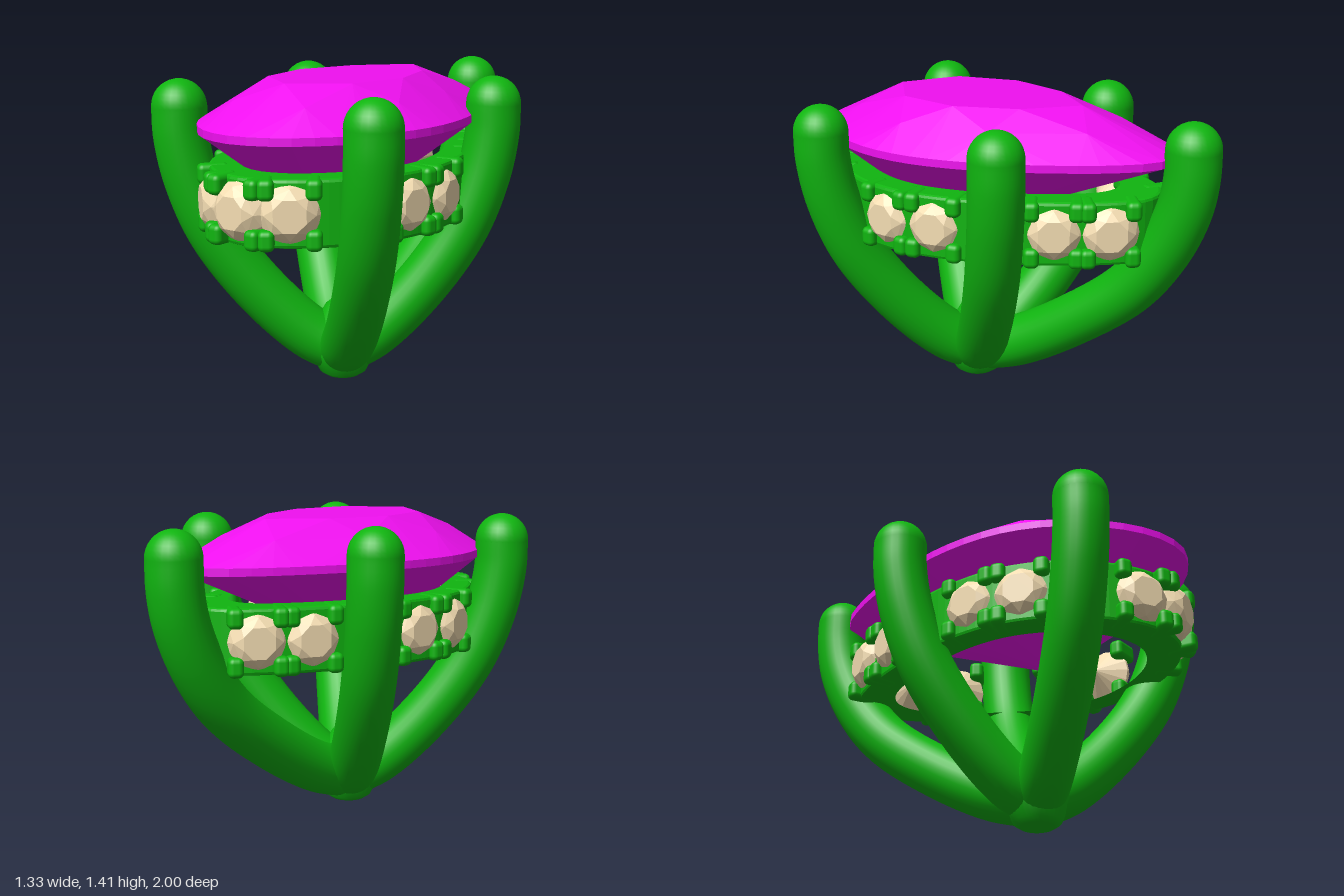
import * as THREE from 'three';
import { RoundedBoxGeometry } from 'three/addons/geometries/RoundedBoxGeometry.js';
import { ConvexGeometry } from 'three/addons/geometries/ConvexGeometry.js';

const metal = new THREE.MeshStandardMaterial({ color: 0x10b510 });
const gemMat = new THREE.MeshStandardMaterial({ color: 0xf010f0, flatShading: true });
const stoneMat = new THREE.MeshStandardMaterial({ color: 0xf5deb3, flatShading: true });

// Pear outline, half side as [x, z], mirrored into a closed curve
const half = [[0.18, 0.95], [0.33, 0.83], [0.44, 0.68], [0.52, 0.5], [0.555, 0.28], [0.525, 0.02],
  [0.455, -0.2], [0.365, -0.4], [0.25, -0.6], [0.12, -0.75]];
const outline = new THREE.CatmullRomCurve3([
  [0, 1], ...half, [0, -0.79], ...half.slice().reverse().map(([x, z]) => [-x, z]),
].map(([x, z]) => new THREE.Vector3(x, 0, z)), true);

function mesh(name, geometry, material) {
  const m = new THREE.Mesh(geometry, material);
  m.name = name;
  return m;
}

// Pear outline scaled about a centre on the z axis
function pearRing(count, scale, y, centre = 0.2, shift = 0) {
  return Array.from({ length: count }, (_, i) => {
    const p = outline.getPointAt(((i + shift) / count) % 1);
    return new THREE.Vector3(p.x * scale, y, centre + (p.z - centre) * scale);
  });
}

// Large faceted pear stone
function centreGem() {
  return mesh('centreGem', new ConvexGeometry([
    ...pearRing(8, 0.54, 1.412),
    ...pearRing(8, 0.77, 1.335, 0.2, 0.5),
    ...pearRing(48, 1, 1.235),
    ...pearRing(48, 1, 1.2),
    new THREE.Vector3(0, 0.74, 0.34),
  ]), gemMat);
}

// Small round stone facing +z
function stoneGeometry() {
  const ring = (n, r, z, turn) => Array.from({ length: n }, (_, i) => {
    const a = ((i + turn) / n) * Math.PI * 2;
    return new THREE.Vector3(r * Math.cos(a), r * Math.sin(a), z);
  });
  return new ConvexGeometry([
    ...ring(8, 0.075, 0.075, 0.5), ...ring(8, 0.11, 0.048, 0),
    ...ring(16, 0.133, 0.01, 0), ...ring(16, 0.133, -0.005, 0),
    new THREE.Vector3(0, 0, -0.1),
  ]);
}

// Hollow pear band under the gem
function galleryBand() {
  const flat = (scale) => pearRing(96, scale, 0).map((p) => new THREE.Vector2(p.x, p.z));
  const shape = new THREE.Shape(flat(0.91));
  shape.holes.push(new THREE.Path(flat(0.72)));
  const g = new THREE.ExtrudeGeometry(shape, {
    depth: 0.265, bevelThickness: 0.015, bevelSize: 0.015, bevelSegments: 2,
  });
  g.rotateX(Math.PI / 2).translate(0, 1.04, 0);
  return mesh('galleryBand', g, metal);
}

// Round-ended bent prong through the given points
function prong(name, points) {
  const group = new THREE.Group();
  group.name = name;
  const path = new THREE.CatmullRomCurve3(points.map((p) => new THREE.Vector3(...p)));
  group.add(mesh('prongShaft', new THREE.TubeGeometry(path, 48, 0.125, 28), metal));
  for (const p of [points[0], points[points.length - 1]]) {
    const end = mesh('prongEnd', new THREE.SphereGeometry(0.125, 28, 18), metal);
    end.position.set(...p);
    group.add(end);
  }
  return group;
}

export function createModel() {
  const model = new THREE.Group();
  model.name = 'pearGemSetting';
  model.add(centreGem(), galleryBand());

  // Side prongs rise from one foot; [share of the reach, height]
  const rise = [[0, 0.126], [0.2, 0.2], [0.52, 0.42], [0.8, 0.7], [0.94, 0.95], [0.995, 1.15], [1, 1.28]];
  for (const side of [1, -1]) {
    for (const [label, z] of [['front', 0.72], ['rear', -0.2]]) {
      const name = label + (side > 0 ? 'Left' : 'Right') + 'Prong';
      model.add(prong(name, rise.map(([t, y]) => [side * 0.54 * t, y, 0.23 + (z - 0.23) * t])));
    }
  }
  model.add(prong('backProng', [[0, 0.126, 0.23], [0, 0.2, 0], [0, 0.37, -0.3], [0, 0.59, -0.59],
    [0, 0.8, -0.75], [0, 1, -0.84], [0, 1.15, -0.87], [0, 1.28, -0.873]]));

  // Foot filling the crotch where the prongs meet
  const foot = mesh('foot', new THREE.LatheGeometry([[0, 0], [0.08, 0], [0.11, 0.02], [0.16, 0.12],
    [0.15, 0.22], [0.08, 0.34], [0.06, 0.355], [0, 0.357]].map((p) => new THREE.Vector2(...p)), 32), metal);
  foot.position.z = 0.23;
  model.add(foot);

  // Small stones around the band, each held by four claws
  const stoneGeo = stoneGeometry();
  const clawGeo = new RoundedBoxGeometry(0.07, 0.09, 0.14, 3, 0.025);
  const settings = [[1, 1], ...[0.905, 0.41, 0.14, -0.39, -0.61].flatMap((z) => [[1, z], [-1, z]])];
  for (const [side, z] of settings) {
    // Find where the outline passes this depth on the left half
    let u = 0;
    for (let i = 0; i <= 400; i++) {
      if (Math.abs(outline.getPointAt(i / 800).z - z) < Math.abs(outline.getPointAt(u).z - z)) u = i / 800;
    }
    const p = outline.getPointAt(u);
    const t = outline.getTangentAt(u);
    const setting = new THREE.Group();
    setting.name = 'stoneSetting';
    setting.position.set(side * p.x, 0.908, p.z);
    setting.rotation.y = side * Math.atan2(-t.z, t.x);
    const stone = mesh('smallStone', stoneGeo, stoneMat);
    stone.position.z = -0.075;
    setting.add(stone);
    for (const sx of [1, -1]) {
      for (const sy of [1, -1]) {
        const claw = mesh('claw', clawGeo, metal);
        claw.position.set(sx * 0.1, sy * 0.107, -0.073);
        setting.add(claw);
      }
    }
    model.add(setting);
  }
  return model;
}
